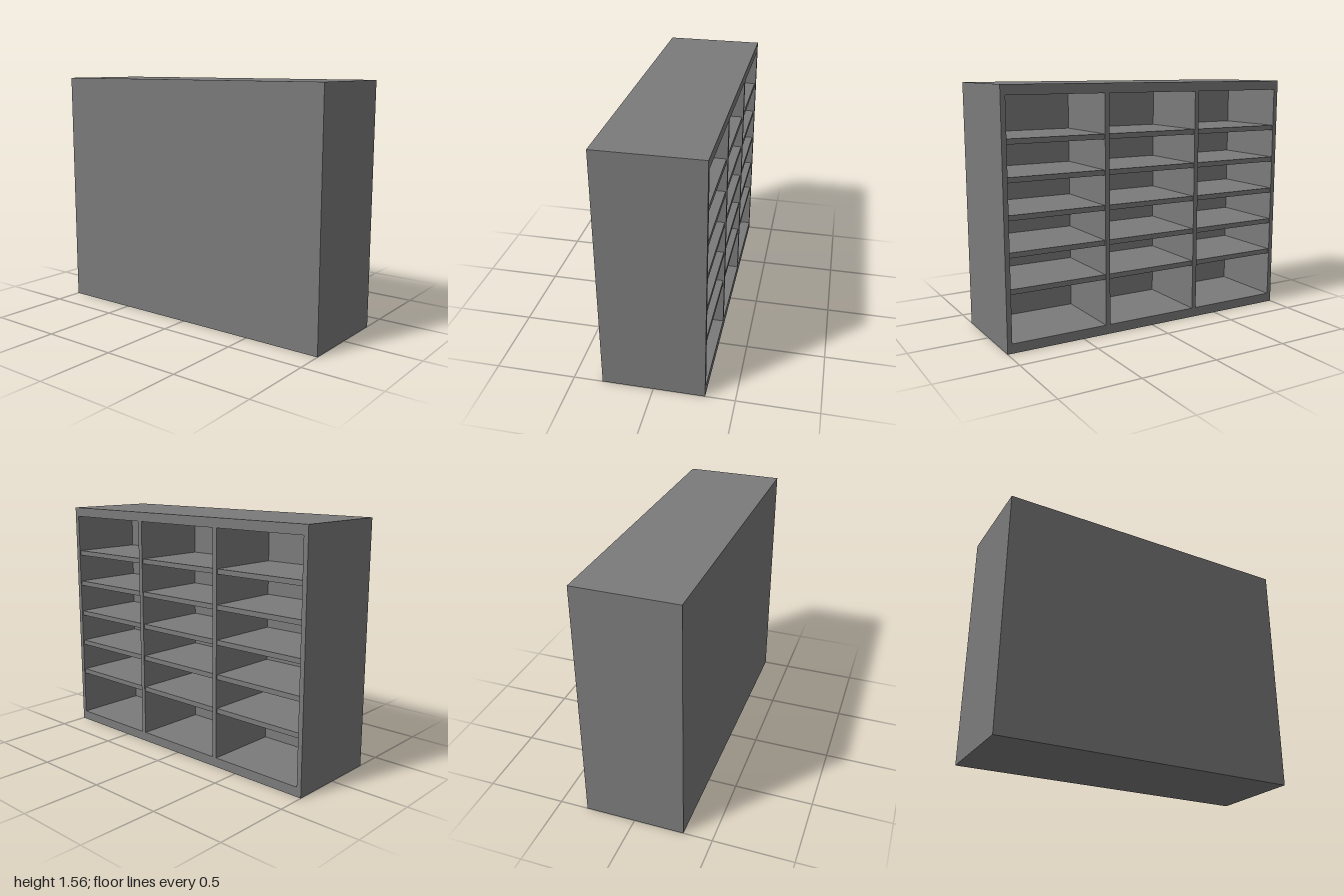
import * as THREE from 'three';

const W = 2, H = 1.56, D = 0.636;
const T = 0.03;          // side and divider thickness
const BOARD = 0.06;      // top and bottom board thickness
const PANEL = 0.14;      // closed front panel thickness
const INSET = 0.008;     // shelves sit just behind the open edge

export function createModel() {
  const model = new THREE.Group();
  model.name = 'pigeonholeCabinet';
  const material = new THREE.MeshStandardMaterial({ color: 0x7b7b7b });

  // box given by its lower and upper corners
  function box(name, x0, x1, y0, y1, z0, z1) {
    const mesh = new THREE.Mesh(new THREE.BoxGeometry(x1 - x0, y1 - y0, z1 - z0), material);
    mesh.position.set((x0 + x1) / 2, (y0 + y1) / 2, (z0 + z1) / 2);
    mesh.name = name;
    model.add(mesh);
  }

  const back = -D / 2, front = D / 2, inner = front - PANEL;

  // outer case, open towards the back
  box('frontPanel', -W / 2, W / 2, 0, H, inner, front);
  box('bottomBoard', -W / 2, W / 2, 0, BOARD, back, inner);
  box('topBoard', -W / 2, W / 2, H - BOARD, H, back, inner);

  // four uprights bound three equal columns, each with five shelves
  const columns = 3, pitch = (W - T) / columns;
  for (let c = 0; c <= columns; c++) {
    const x = -W / 2 + c * pitch;
    const name = c === 0 ? 'rightSide' : c === columns ? 'leftSide' : 'divider';
    box(name, x, x + T, BOARD, H - BOARD, back, inner);
    if (c === columns) break;
    for (let s = 0; s < 5; s++) {
      const y = 0.354 + s * 0.218;
      box('shelf', x + T, x + pitch, y, y + 0.032, back + INSET, inner);
    }
  }
  return model;
}
